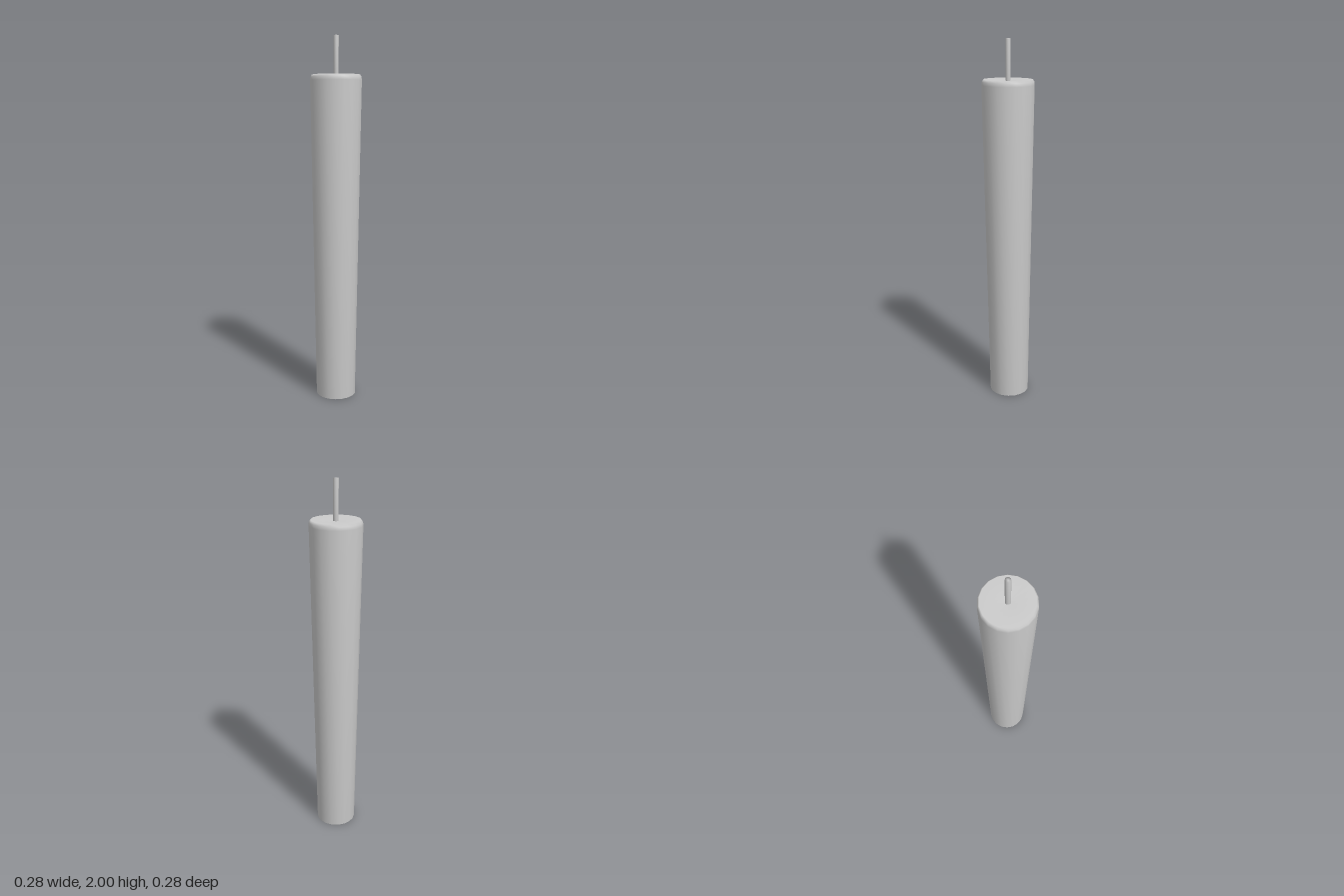
import * as THREE from 'three';

// Closed lathe from [radius, height] pairs, with a vertex on +x
function lathe(name, profile, sides) {
  const points = profile.map(([r, y]) => new THREE.Vector2(r, y));
  const geometry = new THREE.LatheGeometry(points, sides, Math.PI / 2);
  const mesh = new THREE.Mesh(geometry, new THREE.MeshStandardMaterial({ color: 0xcccccc }));
  mesh.name = name;
  return mesh;
}

export function createModel() {
  const group = new THREE.Group();
  group.name = 'candle';

  // Tapered wax body with a bevelled rim and a slightly sunken top
  const body = lathe('waxBody', [[0, 0], [0.111, 0], [0.14, 1.765], [0.138, 1.783], [0.13, 1.795], [0, 1.787]], 18);

  // The foot sits slightly towards the back
  const position = body.geometry.attributes.position;
  for (let i = 0; i < position.count; i++) {
    const lean = 0.0075 * (1 - position.getY(i) / 1.8);
    position.setZ(i, position.getZ(i) - lean);
  }
  group.add(body);

  // Thin upright wick
  group.add(lathe('wick', [[0, 1.78], [0.014, 1.78], [0.014, 2], [0, 2]], 12));

  return group;
}
